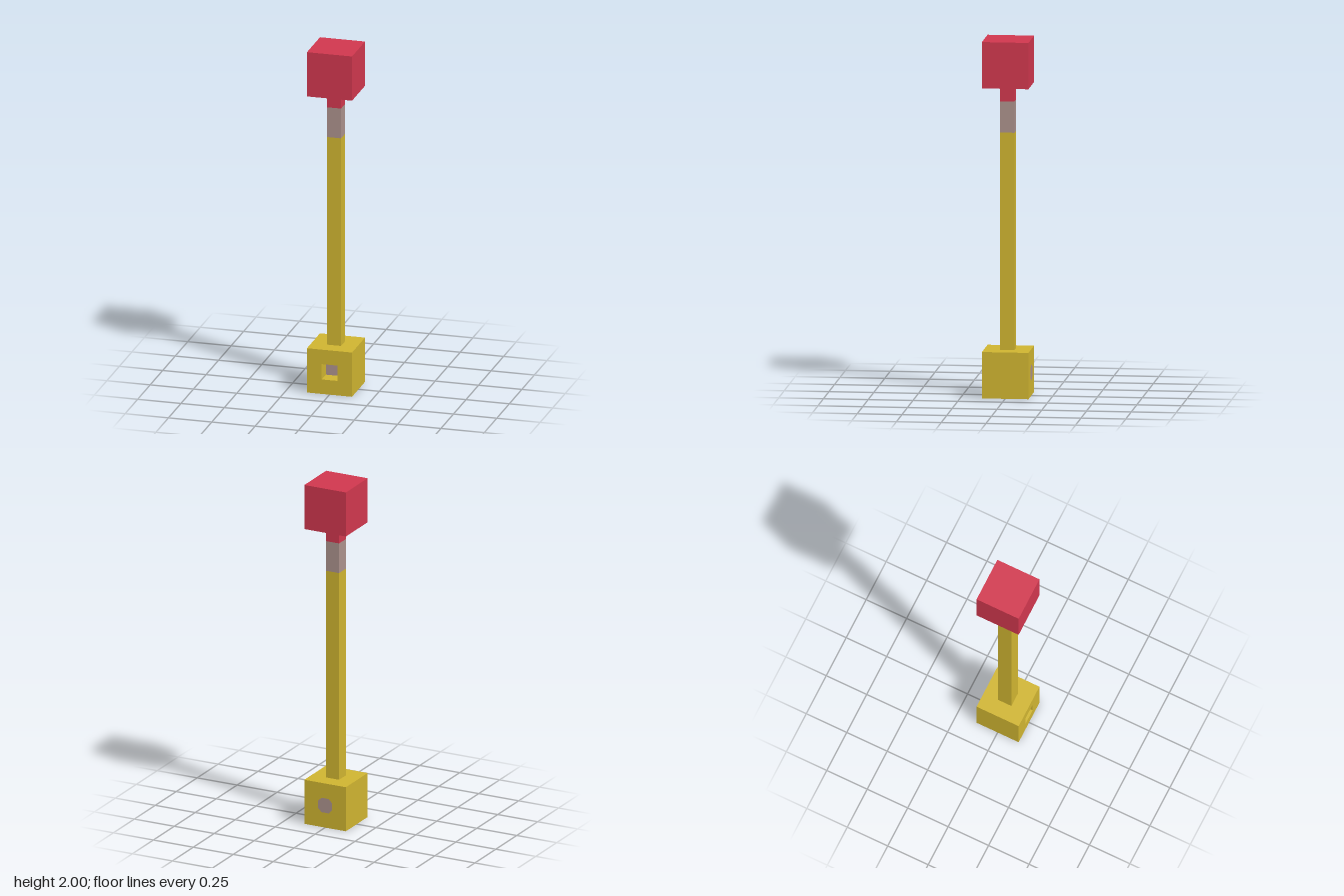
import * as THREE from 'three';

const red = new THREE.MeshStandardMaterial({ name: 'red', color: 0xd0374e });
const yellow = new THREE.MeshStandardMaterial({ name: 'yellow', color: 0xcfb430 });
const grey = new THREE.MeshStandardMaterial({ name: 'warm grey', color: 0xab918b });

const CUBE = 0.26, SHAFT = 0.082, HOLE = 0.09, DEPTH = 0.085;

// Closed outline of a square whose corners may be cut off
function squarePoints(size, cut = 0) {
  const h = size / 2, c = h - cut;
  const pts = cut
    ? [[c, -h], [h, -c], [h, c], [c, h], [-c, h], [-h, c], [-h, -c], [-c, -h]]
    : [[h, -h], [h, h], [-h, h], [-h, -h]];
  return pts.map(([x, y]) => new THREE.Vector2(x, y));
}

export function createModel() {
  const group = new THREE.Group();

  function add(name, geometry, material, y, z = 0) {
    const mesh = new THREE.Mesh(geometry, material);
    mesh.name = name;
    mesh.position.set(0, y, z);
    group.add(mesh);
    return mesh;
  }

  // Square bar between two heights
  function bar(name, width, bottom, top, material) {
    add(name, new THREE.BoxGeometry(width, top - bottom, width), material, (bottom + top) / 2);
  }

  // Head block and the three coloured lengths of the shaft
  bar('headBlock', CUBE, 2 - CUBE, 2, red);
  bar('shaftTop', SHAFT, 1.655, 2 - CUBE, red);
  bar('shaftBand', SHAFT, 1.48, 1.655, grey);
  bar('shaft', SHAFT, CUBE, 1.48, yellow);

  // Base block: front part with a square socket, solid part behind it
  const mid = CUBE / 2, floorZ = mid - DEPTH;
  const frame = new THREE.Shape(squarePoints(CUBE));
  frame.holes.push(new THREE.Path(squarePoints(HOLE).reverse()));
  add('baseFront', new THREE.ExtrudeGeometry(frame, { depth: DEPTH, bevelEnabled: false }), yellow, mid, floorZ);
  const back = CUBE - DEPTH;
  add('baseBack', new THREE.BoxGeometry(CUBE, CUBE, back), yellow, mid, -mid + back / 2);

  // Grey socket floor and grey spot on the back face
  add('socketFloor', new THREE.PlaneGeometry(HOLE, HOLE), grey, mid, floorZ + 0.002);
  const spot = add('backSpot', new THREE.ShapeGeometry(new THREE.Shape(squarePoints(0.085, 0.02))), grey, mid, -mid - 0.001);
  spot.rotation.y = Math.PI;

  return group;
}
